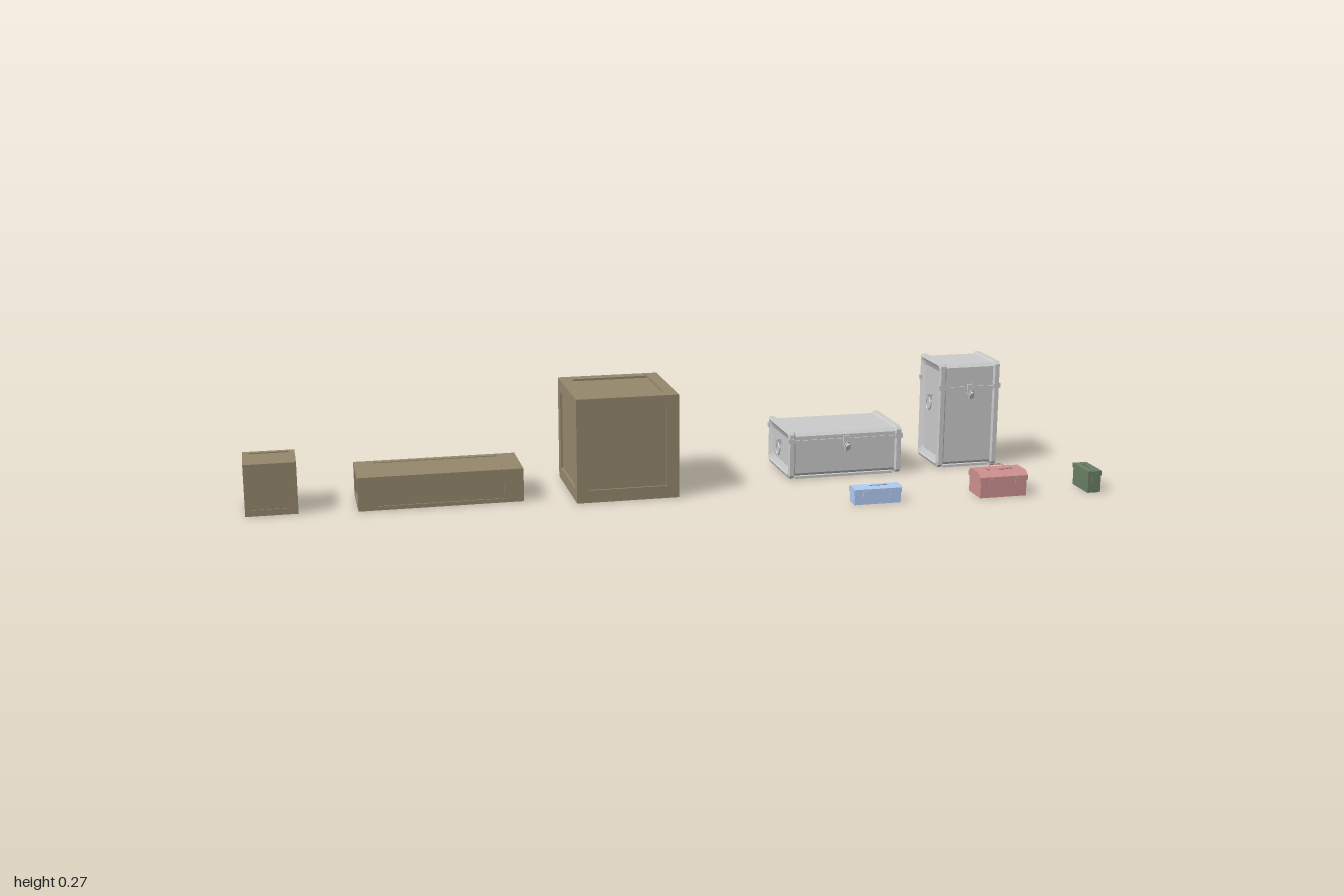
import * as THREE from 'three';

const mat = (color) => new THREE.MeshStandardMaterial({ color, flatShading: true });
const WOOD = mat(0x95896d), GREY = mat(0xcccccc), RED = mat(0xcf9191), BLUE = mat(0xb4cdf5), GREEN = mat(0x6a7f64);

function add(group, name, geo, material, x = 0, y = 0, z = 0) {
  const mesh = new THREE.Mesh(geo, material);
  mesh.name = name;
  mesh.position.set(x, y, z);
  group.add(mesh);
  return mesh;
}
const box = (g, name, m, w, h, d, x, y, z) => add(g, name, new THREE.BoxGeometry(w, h, d), m, x, y, z);

function place(root, name, x, z) {
  const g = new THREE.Group();
  g.name = name;
  g.position.set(x, 0, z);
  root.add(g);
  return g;
}

// Skin of [y, z] outlines stacked along x, with flat end caps
function loft(sections) {
  const pos = [], idx = [], n = sections[0].pts.length;
  sections.forEach((s) => s.pts.forEach(([y, z]) => pos.push(s.x, y, z)));
  for (let i = 0; i < sections.length - 1; i++) {
    for (let j = 0; j < n; j++) {
      const a = i * n + j, b = i * n + (j + 1) % n;
      idx.push(a, b, b + n, a, b + n, a + n);
    }
  }
  const last = (sections.length - 1) * n;
  for (let j = 1; j < n - 1; j++) {
    idx.push(0, j + 1, j, last, last + j, last + j + 1);
  }
  const geo = new THREE.BufferGeometry();
  geo.setAttribute('position', new THREE.Float32BufferAttribute(pos, 3));
  geo.setIndex(idx);
  const flat = geo.toNonIndexed();
  flat.computeVertexNormals();
  return flat;
}

// Rectangle with chamfered corners, as [y, z] points
function chamferRect(y0, y1, hd, c) {
  return [[y1, -hd + c], [y1, hd - c], [y1 - c, hd], [y0 + c, hd],
    [y0, hd - c], [y0, -hd + c], [y0 + c, -hd], [y1 - c, -hd]];
}

// Crate: recessed core with a beam along each of the twelve edges
function crate(root, name, w, h, d, x, z) {
  const g = place(root, name, x, z), f = 0.12, r = 0.98;
  box(g, 'panels', WOOD, w * 0.96, h * r, d * 0.96, 0, h * r / 2, 0);
  for (const a of [-1, 1]) {
    for (const b of [-1, 1]) {
      const k = (1 - f) / 2;
      box(g, 'beamX', WOOD, w, h * f, d * f, 0, h * (0.5 + a * k), d * b * k);
      box(g, 'beamY', WOOD, w * f, h, d * f, w * a * k, h / 2, d * b * k);
      box(g, 'beamZ', WOOD, w * f, h * f, d, w * a * k, h * (0.5 + b * k), 0);
    }
  }
}

// Hard case: banded shell with dished ends, seam lip, ring handles and padlock
function hardCase(root, name, w, h, d, seam, x, z) {
  const g = place(root, name, x, z), e = w / 2;
  const ring = (px, inset) => ({ x: px, pts: chamferRect(0.003 + inset, h - inset, d / 2 - inset, 0.007) });
  const half = [[e - 0.008, 0.024], [e - 0.003, 0.012], [e, 0.007], [e - 0.003, 0], [e - 0.014, 0], [e - 0.018, 0.005]];
  add(g, 'shell', loft([
    ...half.map(([px, i]) => ring(-px, i)),
    ...half.slice().reverse().map(([px, i]) => ring(px, i)),
  ]), GREY);
  box(g, 'foot', GREY, w - 0.04, 0.006, d - 0.02, 0, 0.003, 0);
  box(g, 'seamLip', GREY, w - 0.03, 0.009, d - 0.004, 0, seam, 0);
  for (const s of [-1, 1]) {
    for (const t of [-1, 1]) {
      box(g, 'seamCorner', GREY, 0.018, 0.012, 0.012, s * (e - 0.008), seam + 0.004, t * (d / 2 - 0.005));
    }
    // Ring handle hanging from a staple on each end
    const y = seam - Math.min(0.05, h * 0.3);
    const ringMesh = add(g, 'ringHandle', new THREE.TorusGeometry(0.015, 0.002, 6, 20), GREY, s * (e + 0.001), y, 0);
    ringMesh.rotation.y = Math.PI / 2;
    ringMesh.rotation.z = 0;
    box(g, 'ringStaple', GREY, 0.016, 0.014, 0.004, s * (e - 0.003), y + 0.017, 0);
  }
  // Hasp and hanging padlock
  box(g, 'hasp', GREY, 0.014, 0.026, 0.006, 0, seam - 0.002, d / 2);
  const lock = new THREE.Group();
  lock.name = 'padlock';
  lock.position.set(0, seam - 0.016, d / 2 + 0.009);
  lock.rotation.set(0.3, 0.5, 0.15);
  add(lock, 'shackle', new THREE.TorusGeometry(0.006, 0.0016, 6, 12), GREY, 0, 0.009, 0);
  box(lock, 'lockBody', GREY, 0.015, 0.015, 0.007, 0, 0, 0);
  g.add(lock);
}

// Bent wire handle through a few points
function wire(g, name, material, pts, r = 0.0018) {
  const path = new THREE.CurvePath();
  const v = pts.map((p) => new THREE.Vector3(...p));
  for (let i = 1; i < v.length; i++) path.add(new THREE.LineCurve3(v[i - 1], v[i]));
  return add(g, name, new THREE.TubeGeometry(path, 24, r, 6), material);
}

// Small box with a chamfered lid and two front latches
function smallBox(root, name, m, w, h, d, seam, c, x, z) {
  const g = place(root, name, x, z), hd = d / 2;
  box(g, 'body', m, w - 0.004, seam, d - 0.004, 0, seam / 2, 0);
  const lid = [[h, -hd + c], [h, hd - c], [h - c * 0.8, hd], [seam - 0.004, hd], [seam - 0.004, -hd], [h - c * 0.8, -hd]];
  add(g, 'lid', loft([{ x: -w / 2, pts: lid }, { x: w / 2, pts: lid }]), m);
  for (const s of [-1, 1]) {
    box(g, 'latch', m, 0.009, 0.012, 0.004, s * w * 0.28, seam - 0.003, hd);
  }
  return g;
}

export function createModel() {
  const root = new THREE.Group();
  root.name = 'containers';

  crate(root, 'smallCrate', 0.12, 0.123, 0.12, -0.94, -0.085);
  crate(root, 'longCrate', 0.386, 0.08, 0.15, -0.552, -0.085);
  crate(root, 'largeCrate', 0.246, 0.25, 0.25, -0.118, -0.085);

  hardCase(root, 'wideCase', 0.292, 0.12, 0.186, 0.094, 0.446, -0.135);
  hardCase(root, 'tallCase', 0.16, 0.268, 0.143, 0.203, 0.774, -0.133);

  // Blue box with a low carry handle
  const blue = smallBox(root, 'blueBox', BLUE, 0.118, 0.041, 0.038, 0.029, 0.005, 0.445, 0.184);
  wire(blue, 'handle', BLUE, [[-0.03, 0.04, 0], [-0.015, 0.044, 0.008], [0.015, 0.044, 0.008], [0.03, 0.04, 0]]);

  // Red toolbox with two folding handles
  const red = smallBox(root, 'redToolbox', RED, 0.12, 0.06, 0.074, 0.043, 0.012, 0.755, 0.178);
  for (const s of [-1, 1]) {
    wire(red, 'foldingHandle', RED, [[-0.027, 0.06, -s * 0.006], [-0.014, 0.066, s * 0.022],
      [0.014, 0.066, s * 0.022], [0.027, 0.06, -s * 0.006]]);
    box(red, 'handlePivot', RED, 0.006, 0.005, 0.016, s * 0.028, 0.061, 0);
  }

  // Green can with overhanging lid, end latch and flat handle
  const can = place(root, 'greenCan', 0.981, 0.186);
  box(can, 'body', GREEN, 0.032, 0.046, 0.082, 0, 0.023, 0);
  box(can, 'lid', GREEN, 0.036, 0.011, 0.086, 0, 0.0475, 0);
  box(can, 'latch', GREEN, 0.014, 0.022, 0.005, 0, 0.036, 0.043);
  box(can, 'hinge', GREEN, 0.02, 0.006, 0.003, 0, 0.044, -0.043);
  wire(can, 'handle', GREEN, [[0, 0.052, -0.022], [0, 0.056, -0.016], [0, 0.056, 0.016], [0, 0.052, 0.022]], 0.0022);

  return root;
}
